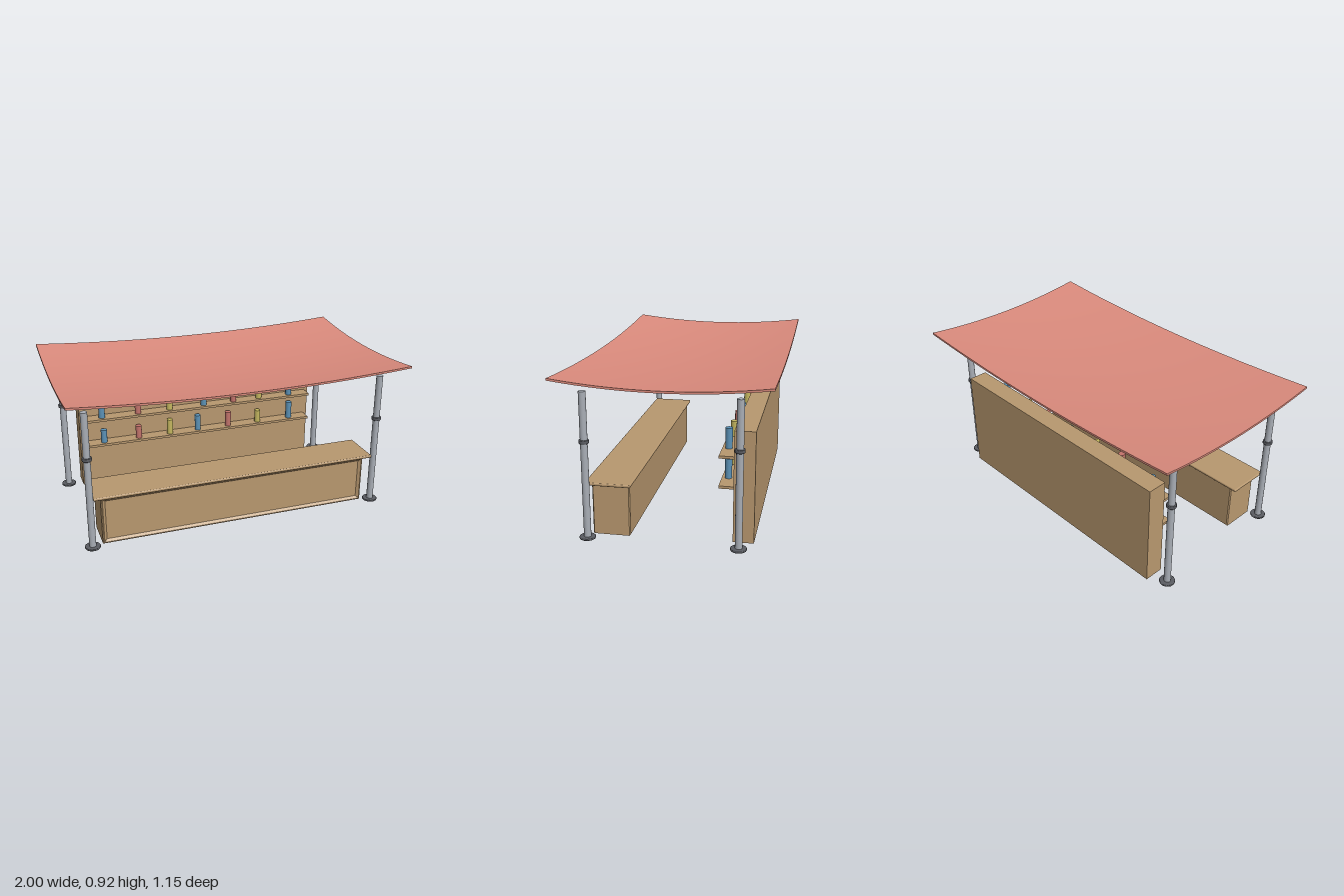
import * as THREE from 'three';
import { RoundedBoxGeometry } from 'three/addons/geometries/RoundedBoxGeometry.js';

const mat = (color) => new THREE.MeshStandardMaterial({ color });
const CX = -0.003; // shared centre line of the furniture

// Closed flat-shaded solid through nested rectangles [halfWidth, y0, y1, z], back to front
function rectLoft(loops) {
  const pos = [], index = [];
  for (const [w, y0, y1, z] of loops) pos.push(-w, y0, z, w, y0, z, w, y1, z, -w, y1, z);
  for (let i = 0; i < loops.length - 1; i++) {
    for (let k = 0; k < 4; k++) {
      const a = i * 4 + k, b = i * 4 + (k + 1) % 4;
      index.push(a, b, b + 4, a, b + 4, a + 4);
    }
  }
  const e = (loops.length - 1) * 4;
  index.push(0, 2, 1, 0, 3, 2, e, e + 1, e + 2, e, e + 2, e + 3);
  const g = new THREE.BufferGeometry();
  g.setAttribute('position', new THREE.Float32BufferAttribute(pos, 3));
  g.setIndex(index);
  const flat = g.toNonIndexed();
  flat.computeVertexNormals();
  return flat;
}

export function createModel() {
  const model = new THREE.Group();
  model.name = 'marketStall';
  const wood = mat(0xb8986f), canvas = mat(0xdb8b7d), steel = mat(0xa9aeb6), dark = mat(0x5a5c62);
  const blue = mat(0x5c93b8), red = mat(0xc4746c), yellow = mat(0xc6b860);

  function add(parent, name, geometry, material, x = 0, y = 0, z = 0) {
    const mesh = new THREE.Mesh(geometry, material);
    mesh.name = name;
    mesh.position.set(x, y, z);
    parent.add(mesh);
    return mesh;
  }

  // Sagging roof: a thin slab bent upward along both axes
  const roof = new THREE.BoxGeometry(2, 0.012, 1.15, 20, 1, 16);
  const p = roof.attributes.position;
  for (let i = 0; i < p.count; i++) {
    const x = p.getX(i), z = p.getZ(i) / 0.575;
    p.setY(i, p.getY(i) + 0.834 + 0.039 * (x * x + z * z));
  }
  roof.computeVertexNormals();
  add(model, 'roof', roof, canvas);

  // Four poles, each with a foot disc and a clamp ring
  const poleGeo = new THREE.CylinderGeometry(0.02, 0.02, 0.828, 20);
  const lathe = (pts) => new THREE.LatheGeometry(pts.map(([r, y]) => new THREE.Vector2(r, y)), 20);
  const footGeo = lathe([[0, 0], [0.043, 0], [0.045, 0.003], [0.045, 0.009], [0.042, 0.012], [0.018, 0.012]]);
  const ringGeo = lathe([[0.019, 0.544], [0.026, 0.544], [0.028, 0.547], [0.028, 0.561], [0.026, 0.564], [0.019, 0.564]]);
  for (const side of [-1, 1]) {
    for (const z of [0.43, -0.398]) {
      const post = new THREE.Group();
      post.name = (z > 0 ? 'front' : 'back') + (side > 0 ? 'Left' : 'Right') + 'Post';
      post.position.set(CX + side * 0.884, 0, z);
      add(post, 'pole', poleGeo, steel, 0, 0.414, 0);
      add(post, 'foot', footGeo, dark);
      add(post, 'clampRing', ringGeo, dark);
      model.add(post);
    }
  }

  // Counter: chamfered body with a shallow recessed front panel, and an overhanging top
  const counter = new THREE.Group();
  counter.name = 'counter';
  model.add(counter);
  add(counter, 'counterBody', rectLoft([
    [0.816, 0.006, 0.286, 0.206],
    [0.822, 0, 0.292, 0.212],
    [0.822, 0, 0.292, 0.41],
    [0.816, 0.006, 0.286, 0.416],
    [0.812, 0.01, 0.282, 0.416],
    [0.796, 0.024, 0.268, 0.404],
  ]), wood, CX);
  add(counter, 'counterTop', new RoundedBoxGeometry(1.73, 0.017, 0.255, 3, 0.006), wood, CX, 0.305, 0.3185);

  // Back wall with two shelves
  add(model, 'backWall', new THREE.BoxGeometry(1.59, 0.63, 0.115), wood, CX, 0.315, -0.4125);
  const shelfGeo = new THREE.BoxGeometry(1.535, 0.015, 0.087);
  add(model, 'lowerShelf', shelfGeo, wood, CX, 0.3, -0.3135);
  add(model, 'upperShelf', shelfGeo, wood, CX, 0.47, -0.3135);

  // Bottles as [x, height], colours repeating along each shelf
  const colors = [blue, red, yellow];
  const rows = [
    { y: 0.3075, items: [[-0.653, 0.086], [-0.425, 0.083], [-0.215, 0.098], [-0.023, 0.103], [0.19, 0.098], [0.403, 0.083], [0.633, 0.113]] },
    { y: 0.4775, items: [[-0.66, 0.092], [-0.425, 0.12], [-0.215, 0.1], [0.018, 0.086], [0.227, 0.095], [0.408, 0.089], [0.627, 0.117]] },
  ];
  for (const { y, items } of rows) {
    items.forEach(([x, h], i) => {
      add(model, 'bottle', new THREE.CylinderGeometry(0.02, 0.02, h, 12), colors[i % 3], x, y + h / 2, -0.306);
    });
  }
  return model;
}
